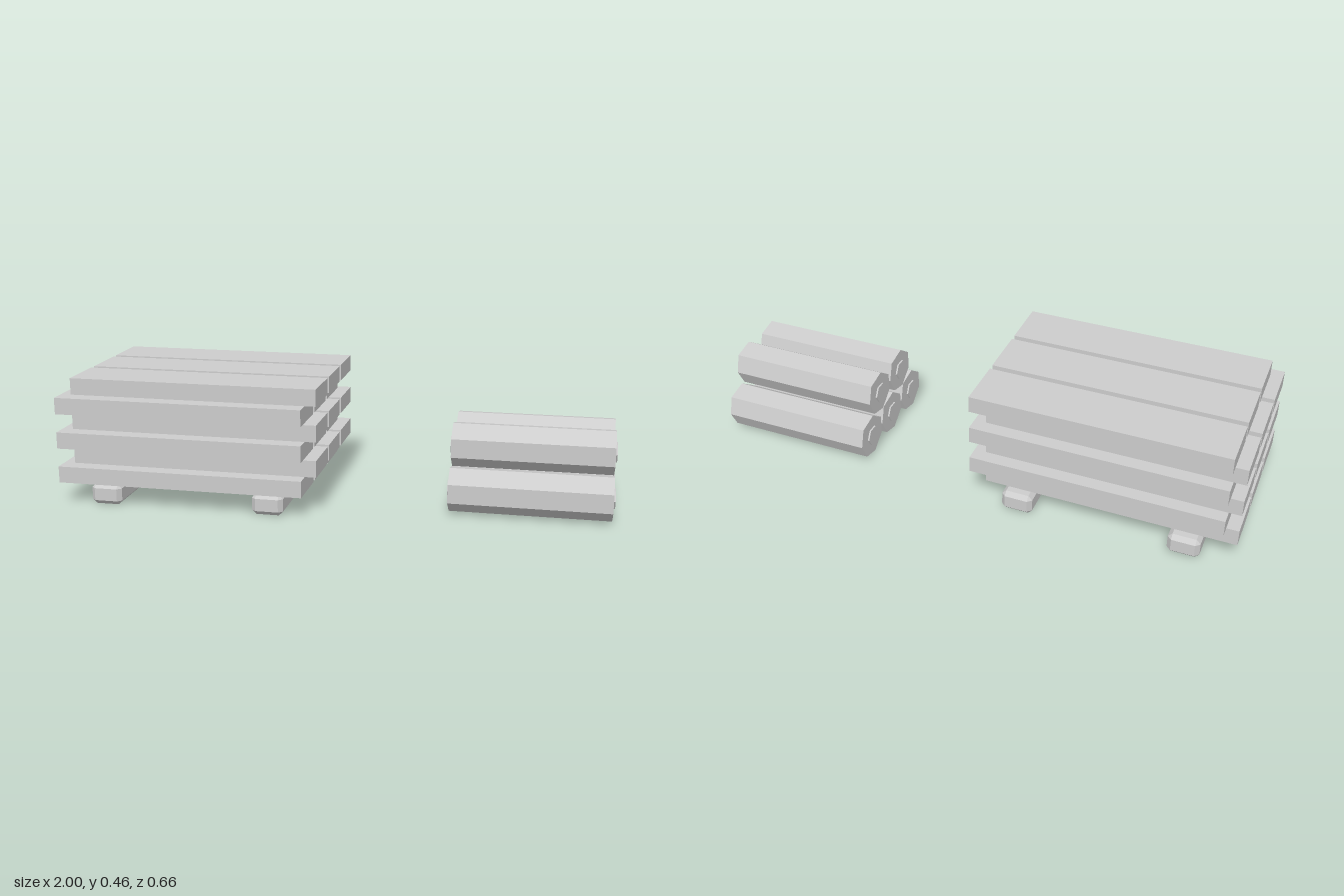
import * as THREE from 'three';
import { ConvexGeometry } from 'three/addons/geometries/ConvexGeometry.js';

const grey = new THREE.MeshStandardMaterial({ color: 0xcccccc });
grey.name = 'plain grey';

function add(parent, geometry, name, x = 0, y = 0, z = 0) {
  const mesh = new THREE.Mesh(geometry, grey);
  mesh.name = name;
  mesh.position.set(x, y, z);
  parent.add(mesh);
  return mesh;
}

// Box with every edge cut at 45 degrees
function chamferedBox(w, h, d, c) {
  const points = [];
  for (const sx of [-1, 1]) for (const sy of [-1, 1]) for (const sz of [-1, 1]) {
    for (let axis = 0; axis < 3; axis++) {
      const [x, y, z] = [w, h, d].map((s, i) => s / 2 - (i === axis ? 0 : c));
      points.push(new THREE.Vector3(sx * x, sy * y, sz * z));
    }
  }
  return new ConvexGeometry(points);
}

// Polygon prism running along x from x0 to x1
function prism(points, x0, x1) {
  const geometry = new THREE.ExtrudeGeometry(new THREE.Shape(points), { depth: x1 - x0, bevelEnabled: false });
  return geometry.rotateY(Math.PI / 2).translate(x0, 0, 0);
}

export function createModel() {
  const model = new THREE.Group();
  model.name = 'lumberStacks';

  // Plank stack: six layers, alternately shifted
  const planks = new THREE.Group();
  planks.name = 'plankStack';
  model.add(planks);
  const plank = new THREE.BoxGeometry(0.915, 0.061, 0.191);
  for (let layer = 0; layer < 6; layer++) {
    const odd = layer % 2;
    for (let i = 0; i < 3; i++) {
      add(planks, plank, 'plank', odd ? -0.498 : -0.5425, 0.1095 + layer * 0.0647, (odd ? 0.192 : 0.238) - i * 0.214);
    }
  }

  // Two chamfered rails under the planks
  const rail = chamferedBox(0.115, 0.077, 0.65, 0.0155);
  for (const x of [-0.825, -0.215]) add(planks, rail, 'supportRail', x, 0.0395, 0);

  // Log pile: three below, two above, each with raised end cores
  const logs = new THREE.Group();
  logs.name = 'logPile';
  model.add(logs);
  const bark = [
    [0.081, -0.003], [0.061, 0.065], [-0.017, 0.081], [-0.078, 0.036],
    [-0.078, -0.033], [-0.017, -0.081], [0.049, -0.066],
  ].map(([u, v]) => new THREE.Vector2(u, v));
  const hexagon = Array.from({ length: 6 }, (_, i) =>
    new THREE.Vector2(Math.cos(i * Math.PI / 3), Math.sin(i * Math.PI / 3)).multiplyScalar(0.0375));
  const body = prism(bark, 0.417, 0.993);
  const cores = [prism(hexagon, 0.411, 0.418), prism(hexagon, 0.992, 1)];
  for (const [y, z] of [[0.085, 0.128], [0.085, -0.04], [0.085, -0.208], [0.23, 0.045], [0.23, -0.125]]) {
    add(logs, body, 'log', 0, y, z);
    for (const core of cores) add(logs, core, 'logEndCore', 0, y, z + 0.003);
  }
  return model;
}
